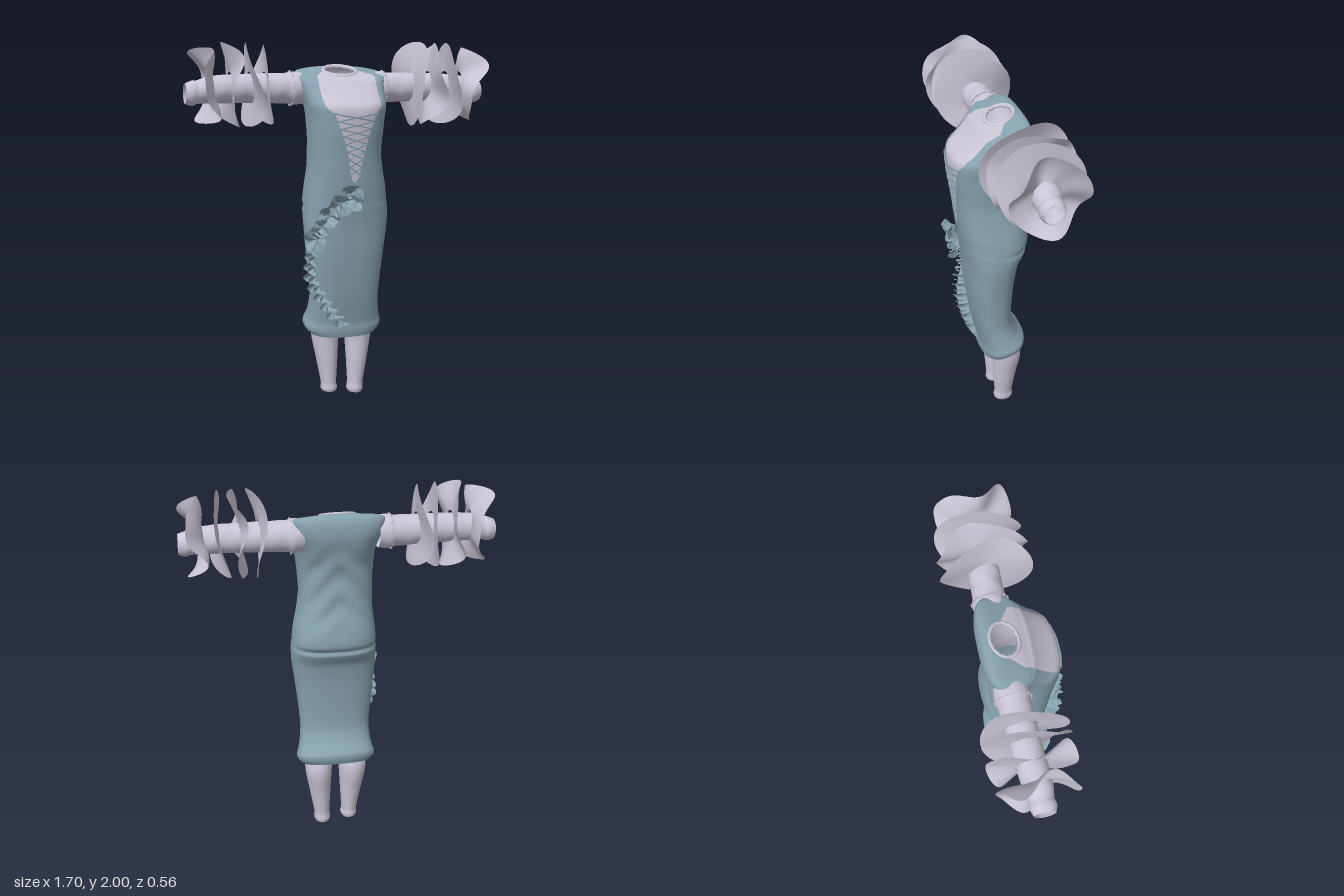
import * as THREE from 'three';
import { mergeVertices } from 'three/addons/utils/BufferGeometryUtils.js';

const material = (name, color) => {
  const m = new THREE.MeshStandardMaterial({ color, side: THREE.DoubleSide });
  m.name = name;
  return m;
};
const clamp = THREE.MathUtils.clamp;

// Smooth interpolation through rows [key, a, b, ...] with rising keys
function sample(rows, k) {
  const n = rows.length - 1;
  k = clamp(k, rows[0][0], rows[n][0]);
  let i = 0;
  while (i < n - 1 && k > rows[i + 1][0]) i++;
  const h = rows[i + 1][0] - rows[i][0], t = (k - rows[i][0]) / h;
  const slope = (j, c) => {
    const a = rows[Math.max(j - 1, 0)], b = rows[Math.min(j + 1, n)];
    return (b[c] - a[c]) / (b[0] - a[0]);
  };
  return rows[0].slice(1).map((_, q) => {
    const c = q + 1, a = rows[i][c], b = rows[i + 1][c];
    return a * (1 + 2 * t) * (1 - t) ** 2 + b * t * t * (3 - 2 * t)
      + h * (slope(i, c) * t * (1 - t) ** 2 + slope(i + 1, c) * t * t * (t - 1));
  });
}

// Surface sheet from fn(u, v) -> Vector3
function sheet(name, mat, nu, nv, fn) {
  const pos = [], idx = [], w = nu + 1;
  for (let j = 0; j <= nv; j++) for (let i = 0; i <= nu; i++) pos.push(...fn(i / nu, j / nv).toArray());
  for (let j = 0; j < nv; j++) for (let i = 0; i < nu; i++) {
    const a = j * w + i;
    idx.push(a, a + 1, a + w, a + 1, a + w + 1, a + w);
  }
  let g = new THREE.BufferGeometry();
  g.setAttribute('position', new THREE.Float32BufferAttribute(pos, 3));
  g.setIndex(idx);
  g = mergeVertices(g, 1e-5);
  g.computeVertexNormals();
  const mesh = new THREE.Mesh(g, mat);
  mesh.name = name;
  return mesh;
}

// Body sections: y, right x, left x, back z, front z
const BODY = [
  [0.355, -0.175, 0.215, -0.155, 0.08], [0.38, -0.198, 0.24, -0.165, 0.085], [0.41, -0.2, 0.246, -0.166, 0.088],
  [0.43, -0.193, 0.24, -0.158, 0.087],
  [0.5, -0.182, 0.225, -0.12, 0.1], [0.6, -0.178, 0.217, -0.092, 0.12], [0.8, -0.198, 0.235, -0.095, 0.148],
  [1.0, -0.212, 0.26, -0.122, 0.166], [1.085, -0.21, 0.263, -0.165, 0.178], [1.1, -0.208, 0.26, -0.152, 0.18],
  [1.125, -0.208, 0.258, -0.176, 0.183], [1.2, -0.202, 0.248, -0.173, 0.195], [1.3, -0.192, 0.225, -0.15, 0.207],
  [1.4, -0.19, 0.212, -0.135, 0.218], [1.55, -0.196, 0.222, -0.135, 0.237], [1.65, -0.205, 0.235, -0.155, 0.234],
  [1.7, -0.214, 0.242, -0.166, 0.175], [1.75, -0.226, 0.25, -0.174, 0.118], [1.8, -0.238, 0.26, -0.172, 0.078],
  [1.832, -0.23, 0.254, -0.154, 0.06], [1.845, -0.175, 0.195, -0.135, 0.045], [1.852, -0.085, 0.108, -0.115, 0.033]];

// Roundness of a section: the shoulders are squarer than the hips
const power = y => 0.8 - 0.18 * clamp((y - 1.6) / 0.15, 0, 1) + 0.3 * clamp((y - 1.835) / 0.017, 0, 1);
const bend = (v, e) => Math.sign(v) * Math.abs(v) ** e;

// Point on the body; angle 0 faces the front, inset shrinks the section
function body(angle, y, inset = 0) {
  const [x0, x1, z0, z1] = sample(BODY, y);
  const s = bend(Math.sin(angle), power(y)), c = bend(Math.cos(angle), power(y));
  const x = (x0 + x1) / 2 + ((x1 - x0) / 2 - inset) * s;
  let z = (z0 + z1) / 2 + ((z1 - z0) / 2 - inset) * c;
  // Soft cloth creases across the back and sides
  const cloth = Math.max(0, 0.6 - Math.cos(angle)) * clamp((y - 1.15) * 5, 0, 1) * clamp((1.75 - y) * 6, 0, 1);
  z += 0.0035 * cloth * Math.sin(y * 38 + Math.abs(Math.sin(angle)) * 9);
  // Hem and neck both slope down towards the front
  const hem = clamp((0.7 - y) / 0.3, 0, 1), neck = clamp((y - 1.78) / 0.07, 0, 1);
  return new THREE.Vector3(x, y - 0.26 * hem * (z - 0.07) - 0.36 * neck * (z + 0.08), z);
}

// Angle on the front half at which the body reaches x
function angleAt(x, y) {
  const [x0, x1] = sample(BODY, y);
  const s = clamp((x - (x0 + x1) / 2) / ((x1 - x0) / 2), -1, 1);
  return Math.asin(bend(s, 1 / power(y)));
}

// Neckline edges: y, right x, left x
const NECK = [[1.24, 0.02, 0.021], [1.26, 0.002, 0.04], [1.4, -0.025, 0.07], [1.55, -0.075, 0.112], [1.615, -0.105, 0.14],
  [1.65, -0.142, 0.168], [1.75, -0.148, 0.18], [1.835, -0.14, 0.19], [1.852, -0.14, 0.19]];

// Point and outward normal on the dress front
function onFront(x, y, lift = 0) {
  const a = angleAt(x, y), p = body(a, y);
  const n = body(a + 0.02, y).sub(body(a - 0.02, y)).cross(body(a, y - 0.01).sub(body(a, y + 0.01))).normalize();
  if (n.z < 0) n.negate();
  return { p: p.addScaledVector(n, lift), n };
}

// Wavy ring around the local x axis
function ruffle(name, mat, r0, r1, waves, amp, phase, lean = 0, sides = 72) {
  return sheet(name, mat, sides, 8, (u, v) => {
    const a = u * Math.PI * 2;
    const r = r0 + (r1 - r0) * v * (1 - 0.05 * (1 + Math.sin(2 * a + phase)) / 2);
    const x = amp * v * (Math.sin(waves * a + phase) + 0.35 * Math.sin((waves * 2 - 1) * a + phase * 2)) + lean * v * v;
    return new THREE.Vector3(x, r * Math.cos(a), r * Math.sin(a));
  });
}

export function createModel() {
  const model = new THREE.Group();
  const blue = material('dustyBlueCloth', 0x87a2b0);
  const pale = material('paleLavenderCloth', 0xcac5d5);

  // Dress: closed below the neckline, open at the front above it
  model.add(sheet('skirtAndBack', blue, 72, 80, (u, v) => body(u * Math.PI * 2, 0.355 + 0.885 * v)));
  model.add(sheet('bodice', blue, 72, 64, (u, v) => {
    const y = 1.24 + 0.612 * v, [l, r] = sample(NECK, y);
    const a = angleAt(r, y), b = angleAt(l, y) + Math.PI * 2;
    return body(a + (b - a) * u, y);
  }));

  // Blouse under the dress and its collar
  model.add(sheet('blouse', pale, 64, 44, (u, v) => body(u * Math.PI * 2, 1.2 + 0.652 * v, 0.006)));
  model.add(sheet('collar', pale, 64, 8, (u, v) => {
    const a = u * Math.PI * 2, t = v * Math.PI * 1.5 - 0.6;
    const r = 0.003 * Math.sin(a * 14) * v + 0.01 * Math.cos(t);
    const z = -0.04 + (0.072 + r) * Math.cos(a);
    return new THREE.Vector3(0.012 + (0.093 + r) * Math.sin(a), 1.849 + 0.011 * Math.sin(t) - 0.36 * (z + 0.08), z);
  }));

  // Crossed lacing over the front opening
  const lacing = new THREE.Group();
  lacing.name = 'lacing';
  const rungs = 8;
  for (let i = 0; i < rungs; i++) {
    const y0 = 1.285 + i * 0.041, y1 = y0 + 0.041;
    const [l0, r0] = sample(NECK, y0), [l1, r1] = sample(NECK, y1);
    for (const [a, b] of [[l0, r1], [r0, l1]]) {
      const pts = [0, 0.33, 0.67, 1].map(t => onFront(a + (b - a) * t, y0 + (y1 - y0) * t, 0.001).p);
      lacing.add(new THREE.Mesh(new THREE.TubeGeometry(new THREE.CatmullRomCurve3(pts), 8, 0.004, 6), blue));
    }
  }
  model.add(lacing);

  // Gathered frill winding down the skirt: y, x, width
  const PATH = [[0.43, 0.018, 0.025], [0.5, -0.06, 0.06], [0.62, -0.128, 0.092], [0.72, -0.165, 0.088], [0.79, -0.176, 0.06],
    [0.93, -0.172, 0.03], [1.05, -0.12, 0.045], [1.14, -0.055, 0.06], [1.21, 0.01, 0.065]];
  for (const k of [0, 1]) {
    model.add(sheet('skirtFrill', blue, 260, 5, (u, v) => {
      const y = 0.43 + 0.78 * u, [x, w] = sample(PATH, y);
      const { p, n } = onFront(x, y, -0.004);
      const [xa] = sample(PATH, y - 0.01), [xb] = sample(PATH, y + 0.01);
      const along = new THREE.Vector3(xb - xa, 0.02, 0).normalize();
      const side = along.clone().cross(n).normalize();
      const wave = Math.sin(u * 95 + k * 2), curl = Math.cos(u * 95 + k * 2);
      return p.addScaledVector(n, w * v * (0.85 + 0.15 * curl))
        .addScaledVector(side, v * (0.028 * wave + (k ? 0.014 : -0.014)))
        .addScaledVector(along, 0.012 * v * curl);
    }));
  }
  // Rosettes on the upper frill
  [[-0.01, 1.18, 0.066], [-0.06, 1.125, 0.064], [0.01, 1.14, 0.045], [-0.11, 1.065, 0.06],
    [-0.14, 1.0, 0.05], [-0.165, 0.93, 0.064]].forEach(([x, y, r], i) => {
    const { p, n } = onFront(x, y, 0.026);
    for (const s of [1, 0.6]) {
      const petals = ruffle('rosette', blue, 0.004, r * s, 4, 0.015, i * 1.7 + s, 0.03, 40);
      petals.position.copy(p);
      petals.quaternion.setFromUnitVectors(new THREE.Vector3(1, 0, 0), n);
      model.add(petals);
    }
  });

  // Sleeves: distance, radius, centre y, centre z
  const SLEEVE = [[0.2, 0.086, 1.742, -0.06], [0.24, 0.09, 1.742, -0.06], [0.265, 0.091, 1.742, -0.06], [0.285, 0.084, 1.742, -0.06],
    [0.5, 0.079, 1.743, -0.052], [0.72, 0.073, 1.737, -0.04], [0.79, 0.062, 1.725, -0.037], [0.805, 0.067, 1.722, -0.036],
    [0.83, 0.062, 1.718, -0.035], [0.85, 0.054, 1.718, -0.035]];
  for (const s of [-1, 1]) {
    const arm = new THREE.Group();
    arm.name = s > 0 ? 'leftSleeve' : 'rightSleeve';
    arm.add(sheet('sleeveTube', pale, 40, 60, (u, v) => {
      const d = 0.2 + 0.65 * v, [r, y, z] = sample(SLEEVE, d), a = u * Math.PI * 2;
      const q = r + 0.002 * Math.sin(d * 60 + 2 * Math.sin(a)) * Math.sin(a * 2);
      return new THREE.Vector3(s * d, y + q * Math.cos(a), z + q * Math.sin(a));
    }));
    // Armhole frill
    const frill = ruffle('armholeFrill', pale, 0.083, 0.098, 16, 0.003, 0);
    frill.position.set(s * 0.268, 1.742, -0.06);
    arm.add(frill);
    // Large wavy sleeve ruffles: distance, radius, waves, wave depth, lean
    const rings = s > 0
      ? [[0.43, 0.242, 2, 0.03, 0.01], [0.53, 0.24, 3, 0.034, 0.01], [0.64, 0.23, 2, 0.034, 0], [0.72, 0.205, 3, 0.045, 0.055]]
      : [[0.415, 0.222, 2, 0.03, 0.01], [0.495, 0.226, 2, 0.032, 0], [0.605, 0.23, 3, 0.036, 0], [0.705, 0.205, 3, 0.045, 0.04]];
    rings.forEach(([d, r, waves, amp, lean], i) => {
      const ring = ruffle('sleeveRuffle', pale, 0.07, r, waves, amp, i * 1.4 + (s > 0 ? 0.6 : 2.2), s * lean);
      ring.position.set(s * d, 1.762, -0.042);
      ring.rotation.z = s * (i % 2 ? -0.08 : -0.04);
      arm.add(ring);
    });
    model.add(arm);
  }

  // Trouser legs: y, centre x, radius x, centre z, radius z
  const LEGS = {
    rightLeg: [[0.018, -0.052, 0.04, -0.043, 0.05], [0.03, -0.053, 0.047, -0.043, 0.056], [0.05, -0.053, 0.046, -0.043, 0.055],
      [0.06, -0.054, 0.043, -0.043, 0.052], [0.2, -0.063, 0.06, -0.048, 0.067], [0.36, -0.072, 0.079, -0.055, 0.082],
      [0.5, -0.072, 0.079, -0.015, 0.074], [0.6, -0.072, 0.079, 0.015, 0.068], [0.8, -0.075, 0.085, 0.025, 0.075]],
    leftLeg: [[0, 0.104, 0.04, -0.043, 0.05], [0.012, 0.104, 0.046, -0.043, 0.056], [0.036, 0.104, 0.046, -0.043, 0.055],
      [0.046, 0.105, 0.043, -0.043, 0.052], [0.2, 0.116, 0.06, -0.048, 0.067], [0.36, 0.125, 0.077, -0.055, 0.082],
      [0.5, 0.112, 0.077, -0.015, 0.074], [0.6, 0.11, 0.077, 0.015, 0.068], [0.8, 0.112, 0.085, 0.025, 0.075]],
  };
  for (const [name, rows] of Object.entries(LEGS)) {
    model.add(sheet(name, pale, 36, 60, (u, v) => {
      const y = rows[0][0] + (0.8 - rows[0][0]) * v, [x, rx, z, rz] = sample(rows, y), a = u * Math.PI * 2;
      return new THREE.Vector3(x + rx * Math.sin(a), y, z + rz * Math.cos(a));
    }));
  }
  return model;
}
